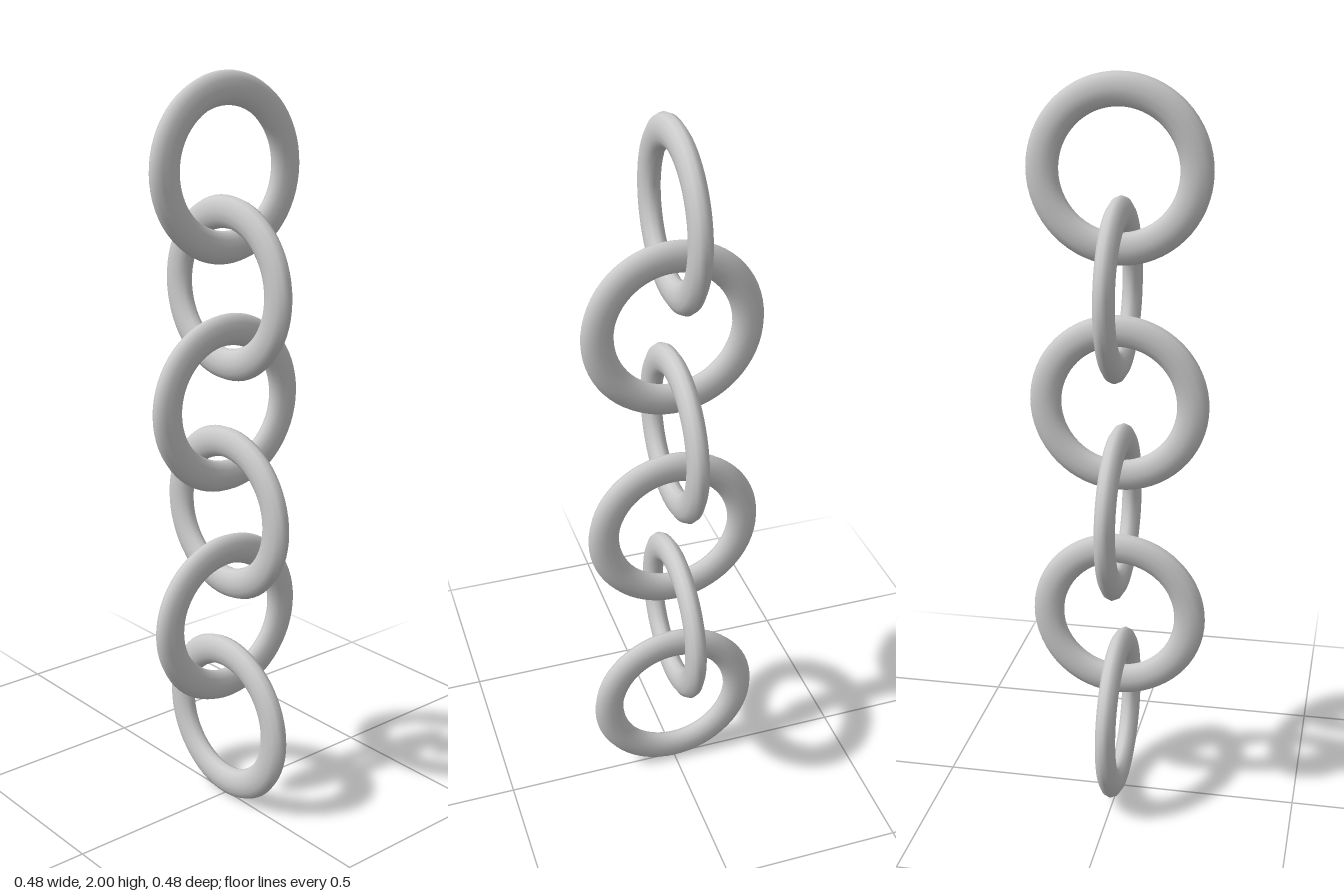
import * as THREE from 'three';

export function createModel() {
  const chain = new THREE.Group();
  chain.name = 'chain';
  const material = new THREE.MeshStandardMaterial({ color: 0xcccccc });

  const outer = 0.24, tube = 0.0425, count = 6;
  const spacing = (2 - 2 * outer) / (count - 1);

  // Ring with an oval section, thinner along its axis
  const ring = new THREE.TorusGeometry(outer - tube, tube, 12, 64);
  ring.scale(1, 1, 0.65);

  // Interlocked links, each turned a quarter from the one above
  for (let i = 0; i < count; i++) {
    const link = new THREE.Mesh(ring, material);
    link.name = `link${i + 1}`;
    link.position.y = 2 - outer - i * spacing;
    link.rotation.y = (i % 2) * Math.PI / 2;
    chain.add(link);
  }
  return chain;
}
